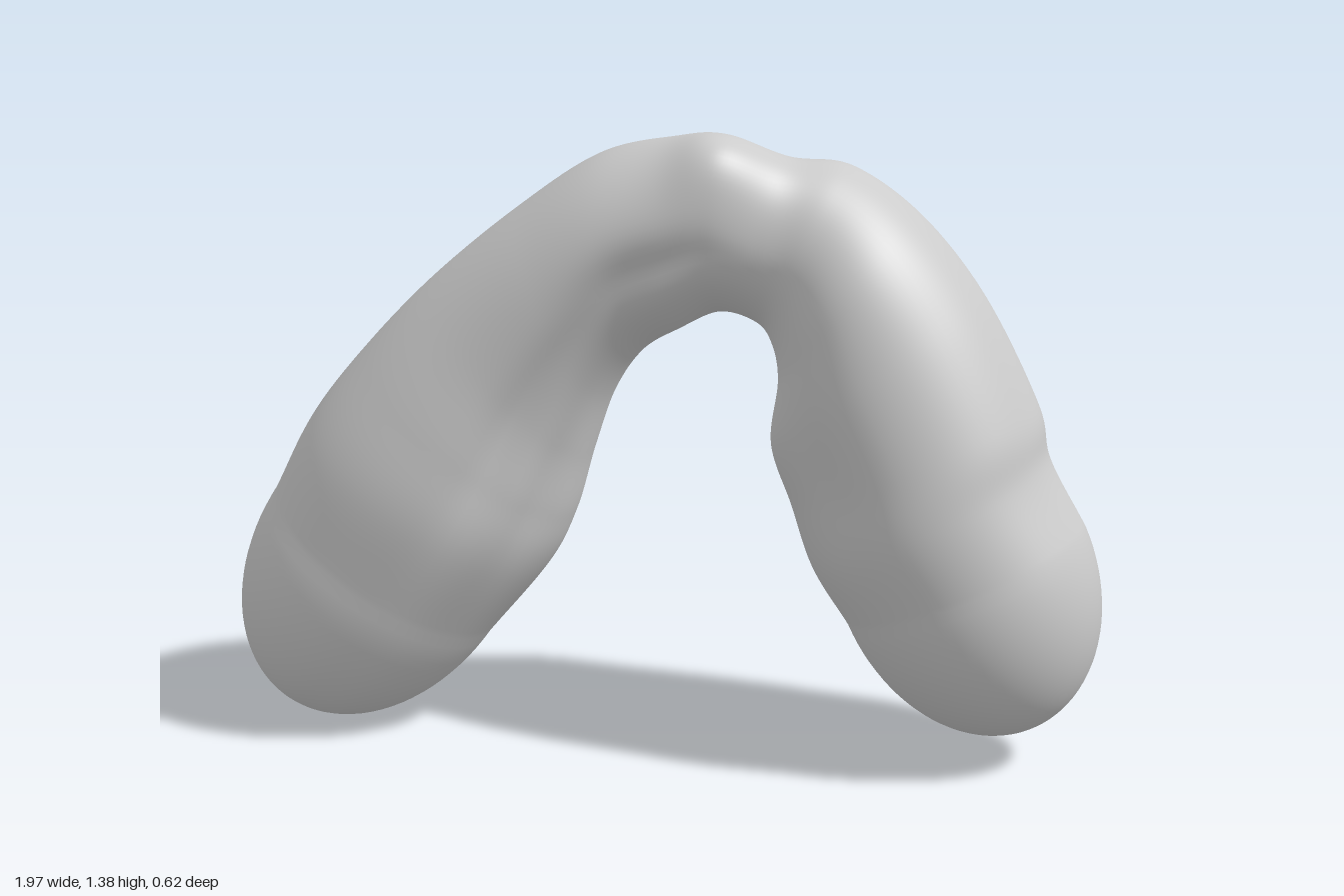
import * as THREE from 'three';

// Stations along the arch: outer x, outer y, inner x, inner y, front depth, back depth
const STATIONS = [
  [-0.885, 0.555, -0.395, 0.215, 0.29, 0.265],
  [-0.79, 0.73, -0.25, 0.39, 0.31, 0.28],
  [-0.66, 0.89, -0.19, 0.51, 0.295, 0.305],
  [-0.50, 1.05, -0.15, 0.65, 0.27, 0.305],
  [-0.30, 1.21, -0.10, 0.79, 0.26, 0.275],
  [-0.12, 1.325, -0.03, 0.89, 0.255, 0.27],
  [0.05, 1.365, 0.06, 0.945, 0.25, 0.25],
  [0.17, 1.375, 0.15, 0.985, 0.235, 0.215],
  [0.30, 1.325, 0.23, 0.965, 0.205, 0.20],
  [0.43, 1.305, 0.265, 0.92, 0.21, 0.225],
  [0.58, 1.20, 0.28, 0.84, 0.25, 0.275],
  [0.72, 1.03, 0.265, 0.70, 0.275, 0.28],
  [0.84, 0.80, 0.31, 0.57, 0.29, 0.285],
  [0.87, 0.68, 0.36, 0.43, 0.295, 0.285],
  [0.95, 0.535, 0.44, 0.305, 0.28, 0.27],
];
const START_CAP = 0.42, END_CAP = 0.37;

// Shallow grooves: station, its spread, angle in degrees (0 outer, 90 front, 180 inner), its spread, depth
const GROOVES = [
  [2.8, 1.7, 114, 12, 0.11],
  [2.2, 1.3, 146, 11, 0.06],
  [5.8, 1.5, 103, 14, 0.07],
  [8.4, 0.7, 75, 30, 0.03],
  [8.4, 0.6, 285, 30, 0.05],
  [11.5, 1.4, 125, 18, 0.06],
  [10.5, 1.6, 235, 18, 0.09],
  [13, 0.9, 215, 15, 0.06],
  [4, 1.7, 235, 16, 0.07],
];

const SIDES = 72, ROWS = 160, CAP = 24;
const gauss = (d, w) => Math.exp(-(d * d) / (w * w));

function grooveScale(s, deg) {
  let k = 1;
  for (const [s0, sw, a0, aw, depth] of GROOVES) {
    k -= depth * gauss(s - s0, sw) * gauss(deg - a0, aw);
  }
  return k;
}

function archGeometry() {
  const last = STATIONS.length - 1;
  const curve = (pick) => new THREE.CatmullRomCurve3(
    STATIONS.map((r) => new THREE.Vector3(...pick(r))), false, 'catmullrom', 0.5);
  const outer = curve((r) => [r[0], r[1], 0]);
  const inner = curve((r) => [r[2], r[3], 0]);
  const depth = curve((r) => [r[4], r[5], 0]);

  // Rows: [curve parameter, cap angle, cap length]; the cap angle is zero along the body
  const rows = [];
  for (let i = CAP; i > 0; i--) rows.push([0, i / CAP * Math.PI / 2, -START_CAP]);
  for (let i = 0; i <= ROWS; i++) rows.push([i / ROWS, 0, 0]);
  for (let i = 1; i <= CAP; i++) rows.push([1, i / CAP * Math.PI / 2, END_CAP]);

  const pos = [], index = [];
  for (const [t, phi, length] of rows) {
    const o = outer.getPoint(t), n = inner.getPoint(t), d = depth.getPoint(t);
    const c = o.clone().add(n).multiplyScalar(0.5);
    const u = o.sub(n).multiplyScalar(0.5);
    const push = Math.sin(phi) * length / u.length();
    const shrink = Math.max(Math.cos(phi), 1e-4);
    const skew = 0.1 * gauss(t * last - 7, 1.1);
    for (let j = 0; j < SIDES; j++) {
      const a = j / SIDES * Math.PI * 2, cos = Math.cos(a), sin = Math.sin(a);
      const k = grooveScale(t * last, j / SIDES * 360) * shrink;
      pos.push(
        c.x + u.x * cos * k + u.y * push,
        c.y + u.y * cos * k - u.x * push,
        (sin > 0 ? d.x : d.y) * sin * k + skew * Math.max(cos, 0) ** 2);
    }
  }
  for (let i = 0; i < rows.length - 1; i++) {
    for (let j = 0; j < SIDES; j++) {
      const a = i * SIDES + j, b = i * SIDES + (j + 1) % SIDES;
      index.push(a, b, a + SIDES, b, b + SIDES, a + SIDES);
    }
  }
  const g = new THREE.BufferGeometry();
  g.setAttribute('position', new THREE.Float32BufferAttribute(pos, 3));
  g.setIndex(index);
  g.computeVertexNormals();
  return g;
}

export function createModel() {
  const group = new THREE.Group();
  group.name = 'bentRoll';
  // One soft, bent body with rounded ends
  const body = new THREE.Mesh(archGeometry(), new THREE.MeshStandardMaterial({ color: 0xcccccc }));
  body.name = 'archedBody';
  group.add(body);
  return group;
}
